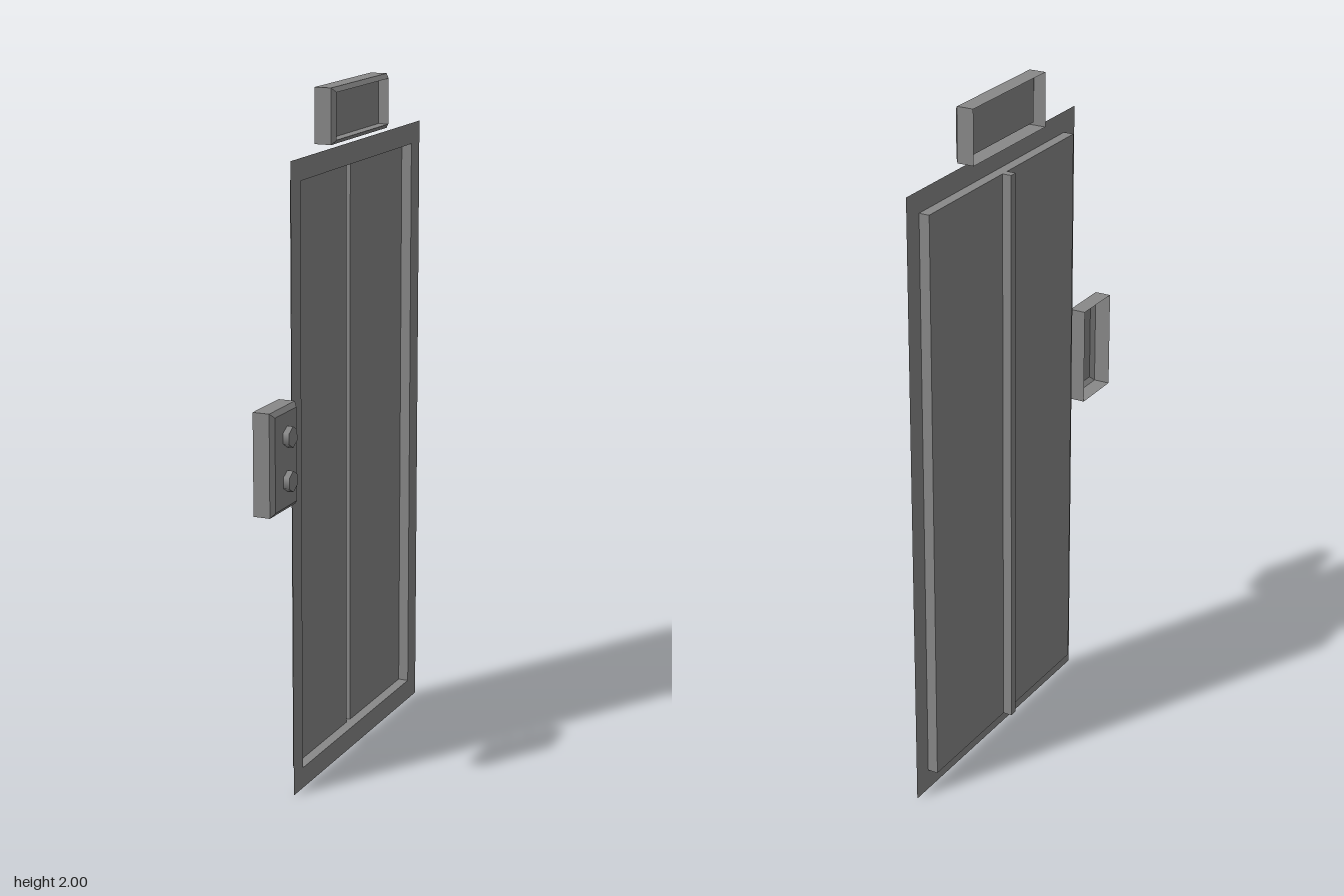
import * as THREE from 'three';

const material = new THREE.MeshStandardMaterial({ color: 0x888888, side: THREE.DoubleSide });

// Folded sheet facing +x: rectangle [z0, z1, y0, y1] swept through [x, inset] steps,
// closed by a flat panel at the last step when capped.
function foldedSheet(name, [z0, z1, y0, y1], steps, capped = true) {
  const rings = steps.map(([x, d]) => [
    [x, y0 + d, z1 - d], [x, y0 + d, z0 + d], [x, y1 - d, z0 + d], [x, y1 - d, z1 - d],
  ]);
  const points = [];
  const quad = (a, b, c, d) => points.push(...a, ...b, ...c, ...a, ...c, ...d);
  for (let r = 0; r < rings.length - 1; r++) {
    for (let i = 0; i < 4; i++) {
      const j = (i + 1) % 4;
      quad(rings[r][i], rings[r][j], rings[r + 1][j], rings[r + 1][i]);
    }
  }
  if (capped) quad(...rings[rings.length - 1]);
  const geometry = new THREE.BufferGeometry();
  geometry.setAttribute('position', new THREE.Float32BufferAttribute(points, 3));
  geometry.computeVertexNormals();
  const mesh = new THREE.Mesh(geometry, material);
  mesh.name = name;
  return mesh;
}

export function createModel() {
  const model = new THREE.Group();
  model.name = 'elevatorDoor';

  // Flat surround with a recess for the doors
  model.add(foldedSheet('doorFrame', [-0.557, 0.355, 0, 1.83],
    [[0, 0], [0, 0.062], [-0.031, 0.062]], false));

  // Two door leaves with a deeper groove between them
  const bottom = 0.062, top = 1.768;
  model.add(foldedSheet('leftLeaf', [-0.0875, 0.293, bottom, top], [[-0.031, 0]]));
  model.add(foldedSheet('rightLeaf', [-0.495, -0.1125, bottom, top], [[-0.031, 0]]));
  model.add(foldedSheet('doorGroove', [-0.1125, -0.0875, bottom, top],
    [[-0.031, 0], [-0.058, 0]]));

  // Floor indicator: bevelled rim around a sunken display, open at the back
  model.add(foldedSheet('floorIndicator', [-0.285, 0.107, 1.842, 2],
    [[-0.042, 0], [0.008, 0], [0.019, 0.013], [-0.012, 0.013]]));

  // Call panel: bevelled box, open at the back
  const callPanel = new THREE.Group();
  callPanel.name = 'callPanel';
  callPanel.add(foldedSheet('callPanelCase', [0.397, 0.559, 0.888, 1.18],
    [[-0.02, 0], [0.029, 0], [0.04, 0.013]]));

  // Hexagonal call buttons with softly shaded sides
  const buttonGeometry = new THREE.CylinderGeometry(0.03, 0.03, 0.02, 6);
  buttonGeometry.rotateY(Math.PI / 2).rotateZ(-Math.PI / 2);
  for (const [name, y] of [['upButton', 1.098], ['downButton', 0.973]]) {
    const button = new THREE.Mesh(buttonGeometry, material);
    button.name = name;
    button.position.set(0.048, y, 0.47);
    callPanel.add(button);
  }
  model.add(callPanel);
  return model;
}
